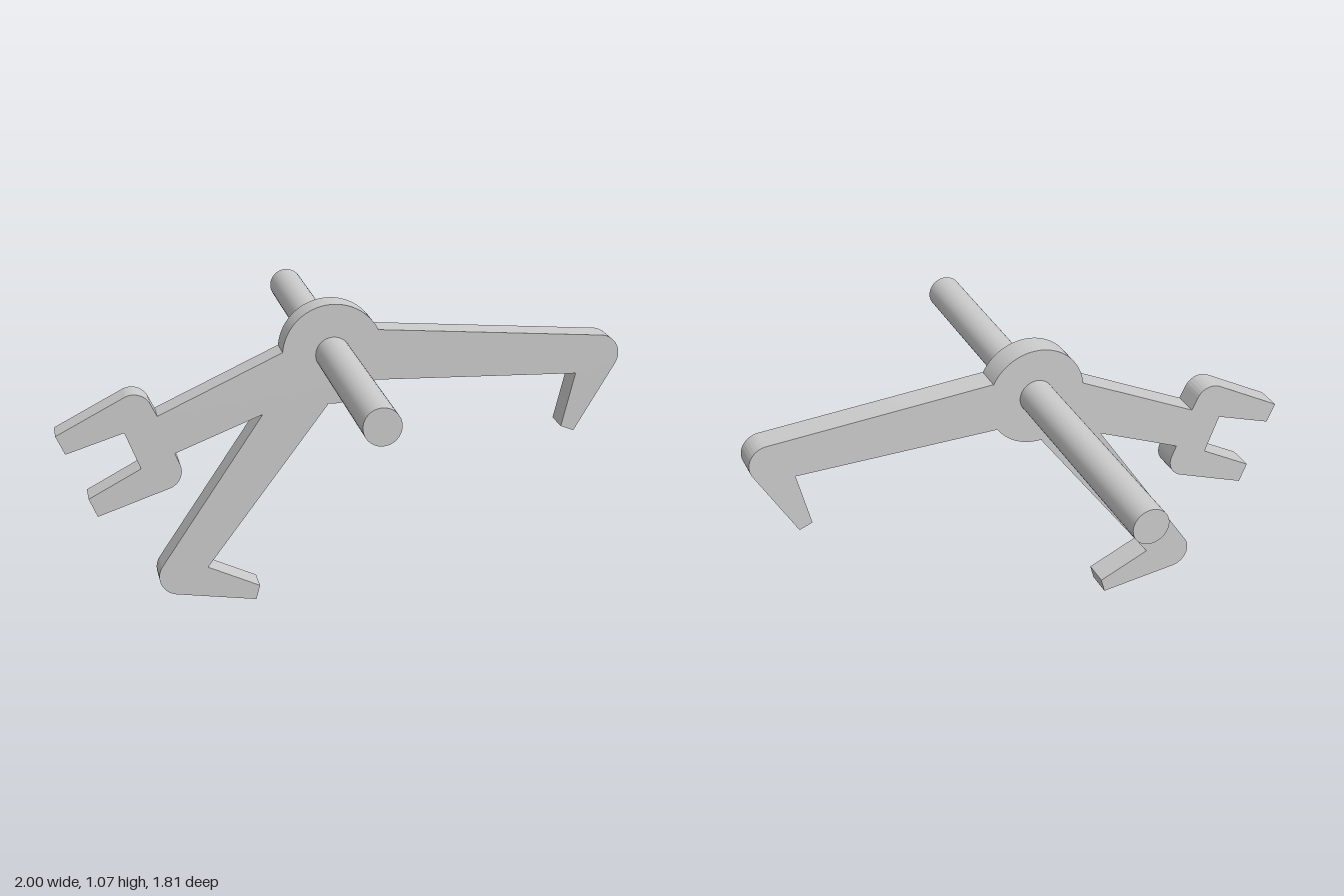
import * as THREE from 'three';
import { toCreasedNormals } from 'three/addons/utils/BufferGeometryUtils.js';

const HUB = { x: -0.037, y: 0.9, r: 0.178 };
const THICKNESS = 0.1;

// Clockwise outline; a point is [x, y] or [x, y, corner radius].
function addPoints(shape, points) {
  points.forEach(([x, y, r], i) => {
    if (!r) return shape.lineTo(x, y);
    const p = new THREE.Vector2(x, y);
    const a = new THREE.Vector2(...points[i - 1].slice(0, 2)).sub(p).normalize();
    const b = new THREE.Vector2(...points[i + 1].slice(0, 2)).sub(p).normalize();
    const half = Math.acos(a.dot(b)) / 2;
    const t = r / Math.tan(half);
    const c = a.clone().add(b).normalize().multiplyScalar(r / Math.sin(half)).add(p);
    const angleTo = (d) => Math.atan2(p.y + d.y * t - c.y, p.x + d.x * t - c.x);
    shape.absarc(c.x, c.y, r, angleTo(a), angleTo(b), true);
  });
}

// Clockwise hub arc between the roots of two limbs
function addHubArc(shape, from, to) {
  const angle = ([x, y]) => Math.atan2(y - HUB.y, x - HUB.x);
  shape.absarc(HUB.x, HUB.y, HUB.r, angle(from), angle(to), true);
}

export function createModel() {
  const group = new THREE.Group();
  const material = new THREE.MeshStandardMaterial({ color: 0xcccccc });

  // Hooked arm on the left
  const hookArm = [
    [0.125, 0.98], [1.043, 0.909, 0.07], [0.84, 0.568], [0.793, 0.587],
    [0.84, 0.782], [0.115, 0.8],
  ];
  // Footed leg, then the forked arm on the right
  const legAndFork = [
    [-0.056, 0.72], [-0.489, 0.141], [-0.304, 0.056], [-0.318, 0.004],
    [-0.712, 0.062, 0.07], [-0.286, 0.697], [-0.595, 0.574],
    [-0.55, 0.47, 0.065], [-0.868, 0.36], [-0.897, 0.427], [-0.713, 0.526],
    [-0.766, 0.66], [-0.969, 0.595], [-1, 0.662], [-0.703, 0.818, 0.065],
    [-0.651, 0.713], [-0.214, 0.916],
  ];

  const outline = new THREE.Shape();
  outline.moveTo(...hookArm[0]);
  addPoints(outline, hookArm);
  addHubArc(outline, hookArm.at(-1), legAndFork[0]);
  addPoints(outline, legAndFork);
  addHubArc(outline, legAndFork.at(-1), hookArm[0]);

  // Flat plate: hub and three limbs in one piece
  const plateGeometry = toCreasedNormals(
    new THREE.ExtrudeGeometry(outline, { depth: THICKNESS, bevelEnabled: false, curveSegments: 24 }),
    0.5,
  );
  const plate = new THREE.Mesh(plateGeometry, material);
  plate.name = 'threeArmedPlate';
  group.add(plate);

  // Axle through the hub
  const axle = new THREE.Mesh(new THREE.CylinderGeometry(0.062, 0.062, 1.81, 48), material);
  axle.name = 'axle';
  axle.rotation.x = Math.PI / 2;
  axle.position.set(HUB.x, HUB.y, 0);
  group.add(axle);

  return group;
}
